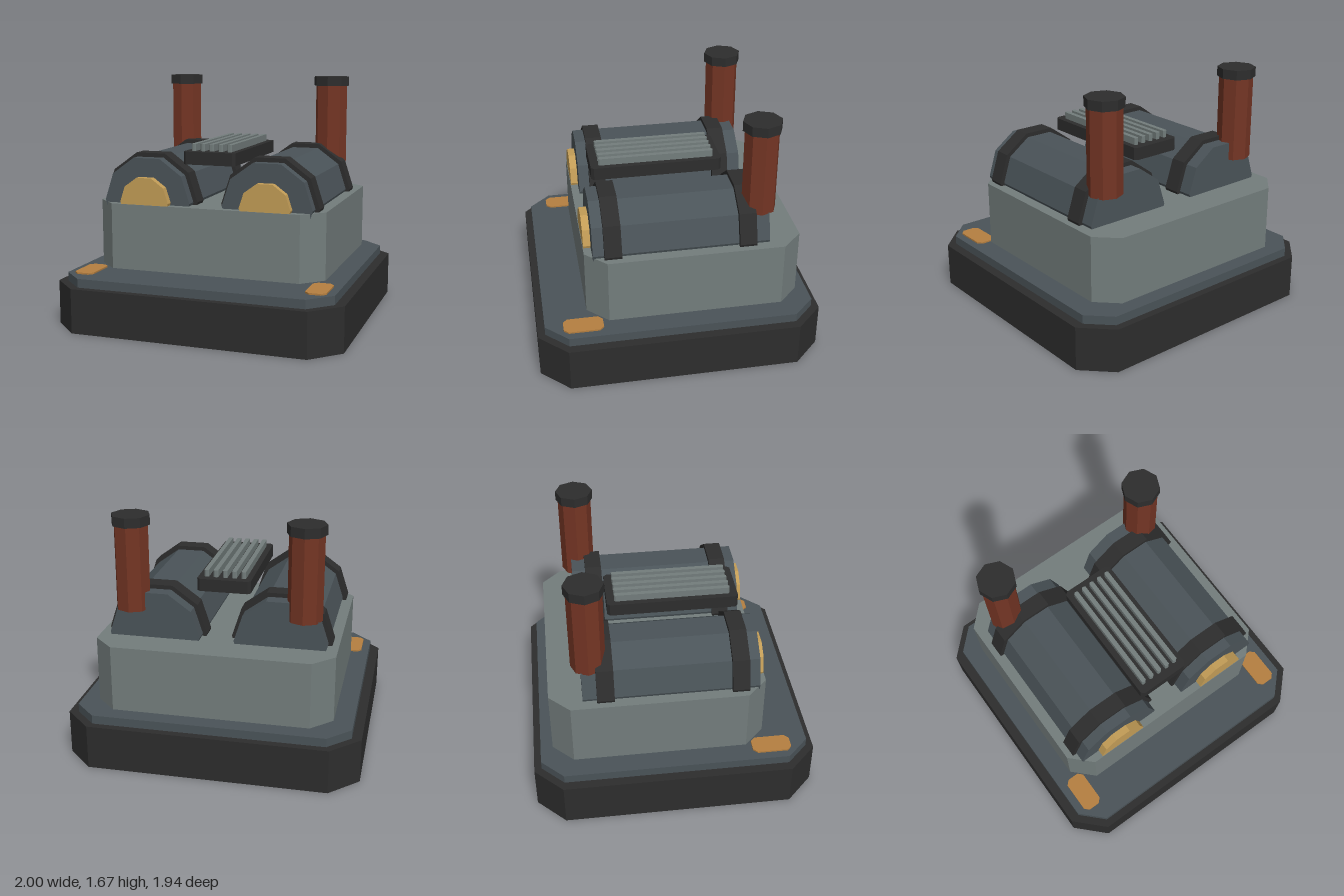
import * as THREE from 'three';

function material(name, color) {
  const m = new THREE.MeshStandardMaterial({ color });
  m.name = name;
  return m;
}

// Faceted look: every face keeps its own normal
function faceted(geometry) {
  const g = geometry.index ? geometry.toNonIndexed() : geometry;
  g.computeVertexNormals();
  return g;
}

// Upright slab with chamfered corners, given by its extents
function slab(x0, x1, y0, y1, z0, z1, c) {
  const s = new THREE.Shape([
    [x0 + c, -z1], [x1 - c, -z1], [x1, -z1 + c], [x1, -z0 - c],
    [x1 - c, -z0], [x0 + c, -z0], [x0, -z0 - c], [x0, -z1 + c],
  ].map(([x, y]) => new THREE.Vector2(x, y)));
  const g = new THREE.ExtrudeGeometry(s, { depth: y1 - y0, bevelEnabled: false });
  return faceted(g.rotateX(-Math.PI / 2).translate(0, y0, 0));
}

// Ten-sided drum lying along z, flat side up
function drum(r, x, y, z0, z1) {
  const g = new THREE.CylinderGeometry(r, r, z1 - z0, 10, 1, false, Math.PI / 2);
  return faceted(g.rotateX(Math.PI / 2).translate(x, y, (z0 + z1) / 2));
}

// Eight-sided upright post
function post(r, x, z, y0, y1) {
  const g = new THREE.CylinderGeometry(r, r, y1 - y0, 8);
  return faceted(g.translate(x, (y0 + y1) / 2, z));
}

export function createModel() {
  const model = new THREE.Group();
  model.name = 'factory';
  const charcoal = material('charcoal', 0x2d2d2d);
  const slate = material('slate', 0x4a5358);
  const concrete = material('concrete grey', 0x737d7c);
  const brick = material('brick red', 0x743524);
  const gold = material('window gold', 0xc29c56);
  const amber = material('amber', 0xb57f40);

  const add = (name, geometry, mat) => {
    const mesh = new THREE.Mesh(geometry, mat);
    mesh.name = name;
    model.add(mesh);
  };

  // Foundation, deck and main block
  add('foundation', slab(-1, 1, 0, 0.305, -0.97, 0.97, 0.19), charcoal);
  add('deck', slab(-0.935, 0.935, 0.305, 0.365, -0.92, 0.92, 0.15), slate);
  add('mainBlock', slab(-0.805, 0.805, 0.382, 0.835, -0.835, 0.628, 0.14), concrete);

  for (const [side, s] of [['left', 1], ['right', -1]]) {
    const x = 0.425 * s, y = 0.853;
    // Barrel roof with two bands and a front window
    add(side + 'Drum', drum(0.31, x, y, -0.61, 0.575), slate);
    add(side + 'FrontBand', drum(0.34, x, y, 0.386, 0.501), charcoal);
    add(side + 'BackBand', drum(0.34, x, y, -0.516, -0.4), charcoal);
    add(side + 'Window', drum(0.175, x, y, 0.57, 0.625), gold);
    // Chimney and cap
    add(side + 'Chimney', post(0.117, 0.58 * s, -0.558, 1.025, 1.602), brick);
    add(side + 'ChimneyCap', post(0.131, 0.58 * s, -0.558, 1.602, 1.668), charcoal);
    // Marker plate on the deck
    const px = 0.81 * s;
    add(side + 'MarkerPlate', slab(px - 0.07, px + 0.07, 0.365, 0.376, 0.53, 0.798, 0.03), amber);
  }

  // Vent plate with five ribs
  add('ventPlate', slab(-0.185, 0.185, 1.11, 1.197, -0.395, 0.513, 0.02), charcoal);
  for (let i = -2; i <= 2; i++) {
    const x = i * 0.064;
    add('ventRib', slab(x - 0.016, x + 0.016, 1.197, 1.245, -0.342, 0.458, 0.008), concrete);
  }
  return model;
}
